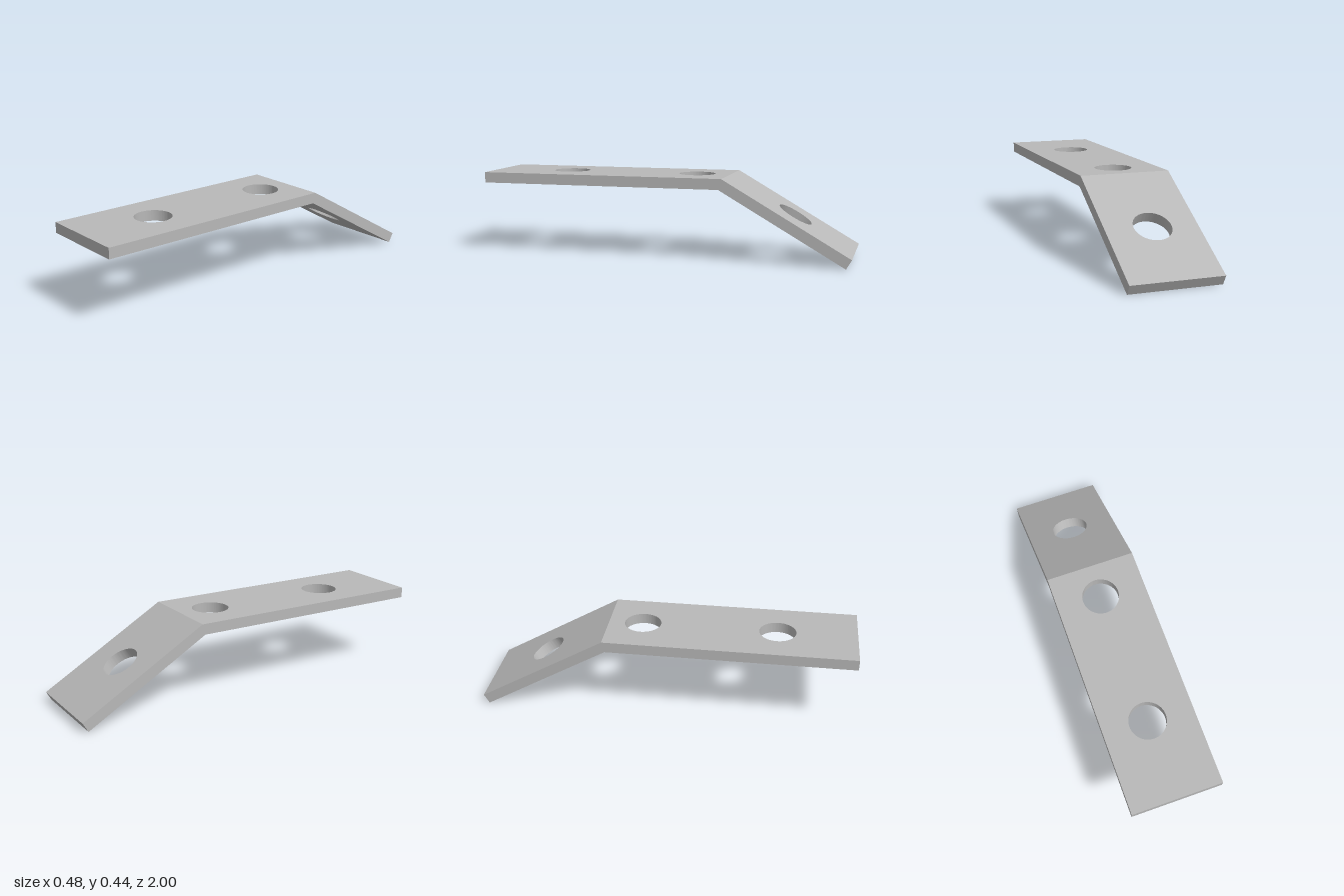
import * as THREE from 'three';
import { toCreasedNormals } from 'three/addons/utils/BufferGeometryUtils.js';

const WIDTH = 0.482, THICK = 0.057, HOLE_R = 0.098;
const BEND = THREE.MathUtils.degToRad(30);
const TOP_Y = 0.437, BEND_Z = -0.328;

// Drilled strip running from the bend (s = 0) along +y, top face at z = 0,
// with its bend end mitred and left open so the two legs join cleanly
function legGeometry(length, holes) {
  const h = WIDTH / 2;
  const shape = new THREE.Shape();
  shape.moveTo(-h, 0).lineTo(h, 0).lineTo(h, length).lineTo(-h, length).closePath();
  for (const [x, s] of holes) {
    shape.holes.push(new THREE.Path().absarc(x, s, HOLE_R, 0, Math.PI * 2, true));
  }
  const geo = new THREE.ExtrudeGeometry(shape, { depth: THICK, bevelEnabled: false, curveSegments: 48 });
  geo.translate(0, 0, -THICK);

  // Drop the hidden wall at the bend, then shift the lower edge to the mitre
  const p = geo.attributes.position, kept = [];
  for (let i = 0; i < p.count; i += 3) {
    const tri = [i, i + 1, i + 2];
    if (tri.every(k => Math.abs(p.getY(k)) < 1e-6)) continue;
    for (const k of tri) {
      const y = p.getY(k), z = p.getZ(k);
      kept.push(p.getX(k), y < 1e-6 ? -z * Math.tan(BEND / 2) : y, z);
    }
  }
  const out = new THREE.BufferGeometry();
  out.setAttribute('position', new THREE.Float32BufferAttribute(kept, 3));
  return toCreasedNormals(out, 0.5);
}

export function createModel() {
  const group = new THREE.Group();
  group.name = 'bentBracket';
  const steel = new THREE.MeshStandardMaterial({ color: 0xb8b8b8 });
  steel.name = 'grey steel';

  // Place a leg by the directions of its width, length and top normal
  const addLeg = (name, length, holes, across, along) => {
    const normal = across.clone().cross(along);
    const geo = legGeometry(length, holes);
    geo.applyMatrix4(new THREE.Matrix4().makeBasis(across, along, normal).setPosition(0, TOP_Y, BEND_Z));
    const mesh = new THREE.Mesh(geo, steel);
    mesh.name = name;
    group.add(mesh);
  };

  // Level leg with two holes
  addLeg('flatLeg', 1 - BEND_Z, [[0.003, 0.184], [0.003, 0.907]],
    new THREE.Vector3(-1, 0, 0), new THREE.Vector3(0, 0, 1));

  // Sloping leg with one hole
  addLeg('slopedLeg', (1 + BEND_Z) / Math.cos(BEND), [[-0.005, 0.408]],
    new THREE.Vector3(1, 0, 0), new THREE.Vector3(0, -Math.sin(BEND), -Math.cos(BEND)));

  return group;
}
